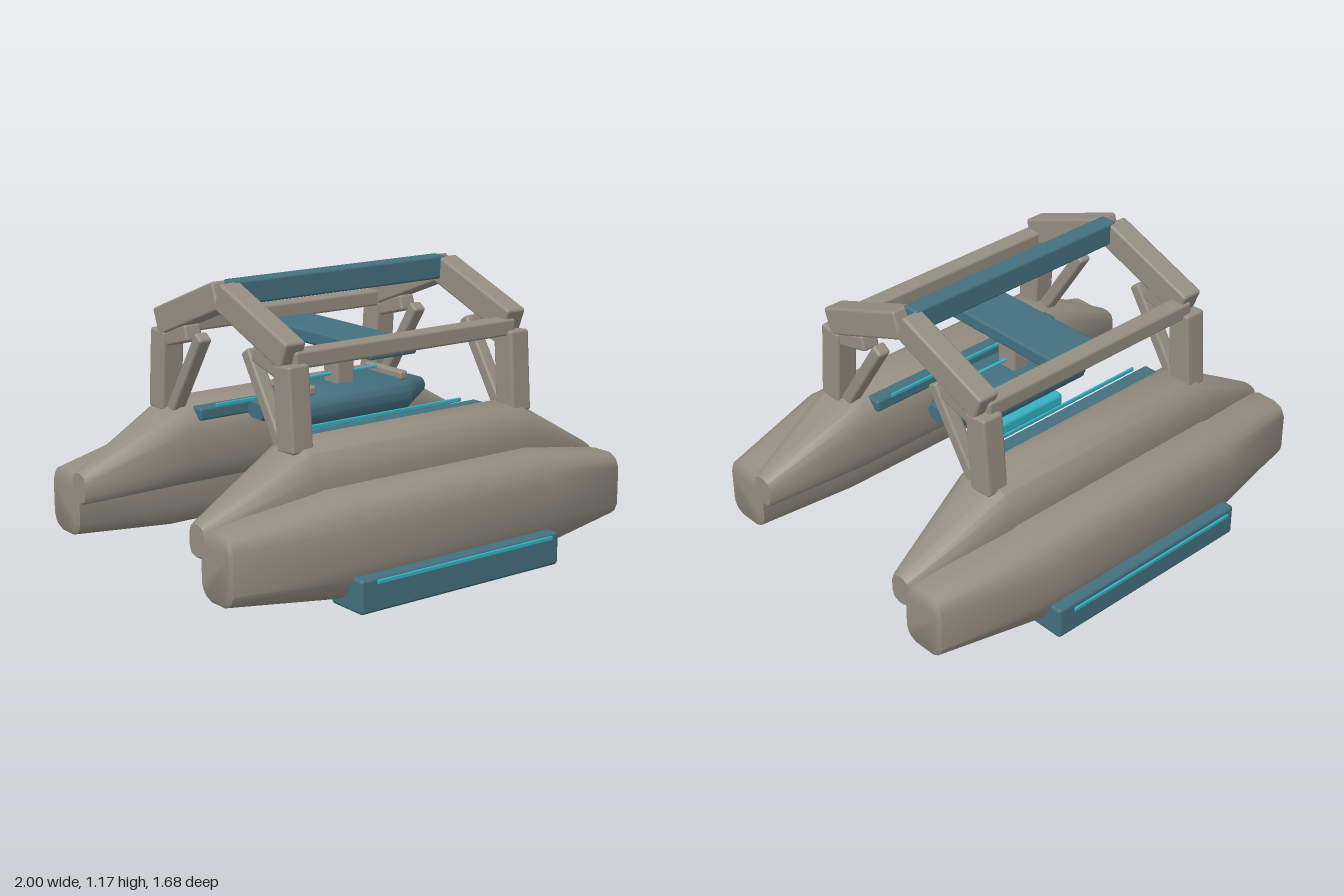
import * as THREE from 'three';
import { toCreasedNormals } from 'three/addons/utils/BufferGeometryUtils.js';
import { RoundedBoxGeometry } from 'three/addons/geometries/RoundedBoxGeometry.js';

const stone = new THREE.MeshStandardMaterial({ color: 0x958d81 });
stone.name = 'warmGrey';
const blue = new THREE.MeshStandardMaterial({ color: 0x44707f });
blue.name = 'slateBlue';
const cyan = new THREE.MeshStandardMaterial({ color: 0x35b1c2 });
cyan.name = 'glowCyan';

// Cuts each corner of a polygon into two so that edges read as soft bevels.
function soften(poly, d) {
  const out = [];
  poly.forEach((p, i) => {
    const n = poly.length;
    for (const q of [poly[(i + n - 1) % n], poly[(i + 1) % n]]) {
      const len = Math.hypot(q[0] - p[0], q[1] - p[1]);
      const t = Math.min(d / len, 0.4);
      out.push([p[0] + (q[0] - p[0]) * t, p[1] + (q[1] - p[1]) * t]);
    }
  });
  return out;
}

// Pulls a polygon towards its middle by a fixed ratio.
function shrink(poly, s) {
  const cz = poly.reduce((a, p) => a + p[0], 0) / poly.length;
  const cy = poly.reduce((a, p) => a + p[1], 0) / poly.length;
  return poly.map(([z, y]) => [cz + (z - cz) * s, cy + (y - cy) * s]);
}

// Octagon [z, y] given by its box and corner cuts, ordered from +z over the top.
function octagon(z0, z1, y0, y1, c) {
  return [[z1, y1 - c], [z1 - c, y1], [z0 + c, y1], [z0, y1 - c],
    [z0, y0 + c], [z0 + c, y0], [z1 - c, y0], [z1, y0 + c]];
}

// Skin through [x, section] stations, capped at both ends.
function loft(stations) {
  const pos = [], index = [], n = stations[0][1].length;
  for (const [x, sec] of stations) for (const [z, y] of sec) pos.push(x, y, z);
  for (let s = 0; s < stations.length - 1; s++) {
    for (let i = 0; i < n; i++) {
      const a = s * n + i, b = s * n + (i + 1) % n;
      index.push(a, b, a + n, b, b + n, a + n);
    }
  }
  const last = (stations.length - 1) * n;
  for (let i = 1; i < n - 1; i++) {
    index.push(0, i + 1, i, last, last + i, last + i + 1);
  }
  // Sections run from +z to +y: flip so that faces point outwards.
  for (let i = 0; i < index.length; i += 3) {
    const a = index[i], b = index[i + 1], c = index[i + 2];
    const va = new THREE.Vector3().fromArray(pos, a * 3);
    const vb = new THREE.Vector3().fromArray(pos, b * 3);
    const vc = new THREE.Vector3().fromArray(pos, c * 3);
    const m = va.clone().add(vb).add(vc).divideScalar(3);
    const mid = stations[0][1].reduce((v, p) => v.add(new THREE.Vector3(0, p[1], p[0])), new THREE.Vector3()).divideScalar(n);
    if (vb.sub(va).cross(vc.sub(va)).dot(m.sub(mid)) < 0) { index[i + 1] = c; index[i + 2] = b; }
  }
  const g = new THREE.BufferGeometry();
  g.setAttribute('position', new THREE.Float32BufferAttribute(pos, 3));
  g.setIndex(index);
  return toCreasedNormals(g, 0.65);
}

// Body with a constant middle and tapered, bevelled ends.
function taperedBody(middle, end, xMid, xEnd, d) {
  const m = soften(middle, d), e = soften(end, d * 0.6), tip = shrink(e, 0.9);
  return loft([[-xEnd, tip], [-xEnd + 0.01, e], [-xMid, m], [xMid, m], [xEnd - 0.01, e], [xEnd, tip]]);
}

function add(parent, name, geometry, material) {
  const mesh = new THREE.Mesh(geometry, material);
  mesh.name = name;
  parent.add(mesh);
  return mesh;
}

// Rounded box by size and centre.
function box(parent, name, material, size, centre, r = 0.012) {
  const radius = Math.min(r, Math.min(...size) * 0.45);
  const mesh = add(parent, name, new RoundedBoxGeometry(...size, 2, radius), material);
  mesh.position.set(...centre);
  return mesh;
}

// Beam in the z-y plane between two [z, y] points.
function beam(parent, name, x, from, to, width, depth) {
  const dz = to[0] - from[0], dy = to[1] - from[1];
  const mesh = box(parent, name, stone, [width, depth, Math.hypot(dz, dy)],
    [x, (from[1] + to[1]) / 2, (from[0] + to[0]) / 2]);
  mesh.rotation.x = -Math.atan2(dy, dz);
  return mesh;
}

// One pontoon with its legs and arms, on the +z side.
function createSide(name) {
  const side = new THREE.Group();
  side.name = name;

  const outer = [[0.77, 0.37], [0.71, 0.45], [0.51, 0.45], [0.45, 0.37],
    [0.45, 0.11], [0.49, 0.042], [0.71, 0.042], [0.77, 0.16]];
  add(side, 'outerHull', taperedBody(outer, octagon(0.46, 0.665, 0.085, 0.36, 0.04), 0.52, 1, 0.03), stone);

  const inner = [[0.585, 0.53], [0.53, 0.612], [0.35, 0.612], [0.28, 0.54],
    [0.28, 0.33], [0.33, 0.265], [0.5, 0.25], [0.585, 0.36]];
  add(side, 'innerHull', taperedBody(inner, octagon(0.385, 0.495, 0.235, 0.375, 0.025), 0.56, 1, 0.03), stone);

  // Pads and light strips
  box(side, 'outerPad', blue, [1.02, 0.14, 0.19], [0, 0.075, 0.715], 0.015);
  box(side, 'outerLightStrip', cyan, [0.9, 0.018, 0.01], [0, 0.136, 0.833], 0.004);
  box(side, 'innerPad', blue, [1.02, 0.055, 0.07], [0, 0.572, 0.31]);
  box(side, 'innerLightStrip', cyan, [0.88, 0.018, 0.01], [0, 0.605, 0.268], 0.004);

  // Legs, arms and struts
  for (const x of [-0.562, 0.562]) {
    beam(side, 'leg', x, [0.464, 0.58], [0.438, 0.92], 0.1, 0.11);
    beam(side, 'upperArm', x, [0.453, 0.95], [0.005, 1.123], 0.098, 0.118);
    beam(side, 'elbowBrace', x, [0.4, 0.89], [0.235, 0.935], 0.08, 0.07);
    beam(side, 'strut', x, [0.4, 0.57], [0.165, 0.93], 0.06, 0.055);
  }
  box(side, 'crossBeam', stone, [1.12, 0.07, 0.08], [0, 0.935, 0.43]);
  return side;
}

export function createModel() {
  const model = new THREE.Group();
  model.name = 'twinHullCraft';

  model.add(createSide('frontSide'));
  const back = createSide('backSide');
  back.rotation.y = Math.PI;
  model.add(back);

  // Roof
  box(model, 'ridgeBar', blue, [1.1, 0.1, 0.08], [0, 1.13, 0]);
  box(model, 'roofPlank', blue, [0.24, 0.06, 0.73], [0, 0.89, 0]);

  // Hanging pod
  box(model, 'centrePost', stone, [0.09, 0.37, 0.1], [0, 0.685, 0]);
  add(model, 'pod', taperedBody(octagon(-0.152, 0.152, 0.557, 0.7, 0.04),
    octagon(-0.06, 0.06, 0.595, 0.665, 0.02), 0.27, 0.423, 0.015), blue);
  for (const x of [-0.227, 0.015, 0.25]) {
    if (x !== 0.015) box(model, 'podRail', stone, [0.043, 0.04, 0.25], [x, 0.708, 0]);
  }
  box(model, 'podRod', cyan, [0.38, 0.012, 0.014], [0.01, 0.735, 0], 0.004);
  box(model, 'underLight', cyan, [0.38, 0.062, 0.21], [0, 0.485, 0], 0.018);
  return model;
}
